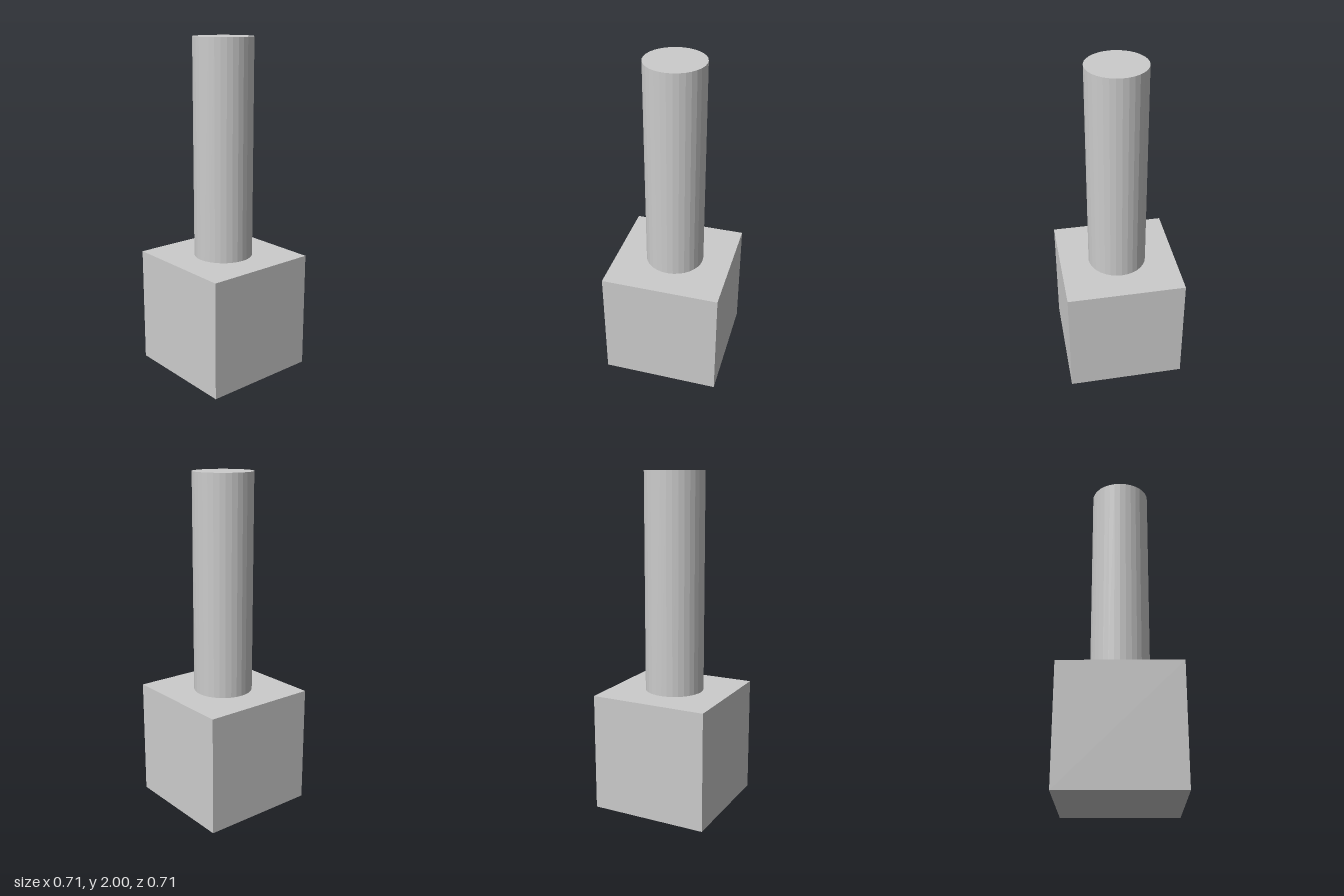
import * as THREE from 'three';

export function createModel() {
  const model = new THREE.Group();
  const material = new THREE.MeshStandardMaterial({ color: 0xcccccc, flatShading: true });

  const height = 2;
  const baseSize = 0.706;
  const postRadius = 0.176;
  const postHeight = height - baseSize;

  // Cube base standing on the ground
  const base = new THREE.Mesh(new THREE.BoxGeometry(baseSize, baseSize, baseSize), material);
  base.name = 'base';
  base.position.y = baseSize / 2;
  model.add(base);

  // Faceted round post centred on the base
  const post = new THREE.Mesh(
    new THREE.CylinderGeometry(postRadius, postRadius, postHeight, 32),
    material
  );
  post.name = 'post';
  post.position.y = baseSize + postHeight / 2;
  model.add(post);

  return model;
}
